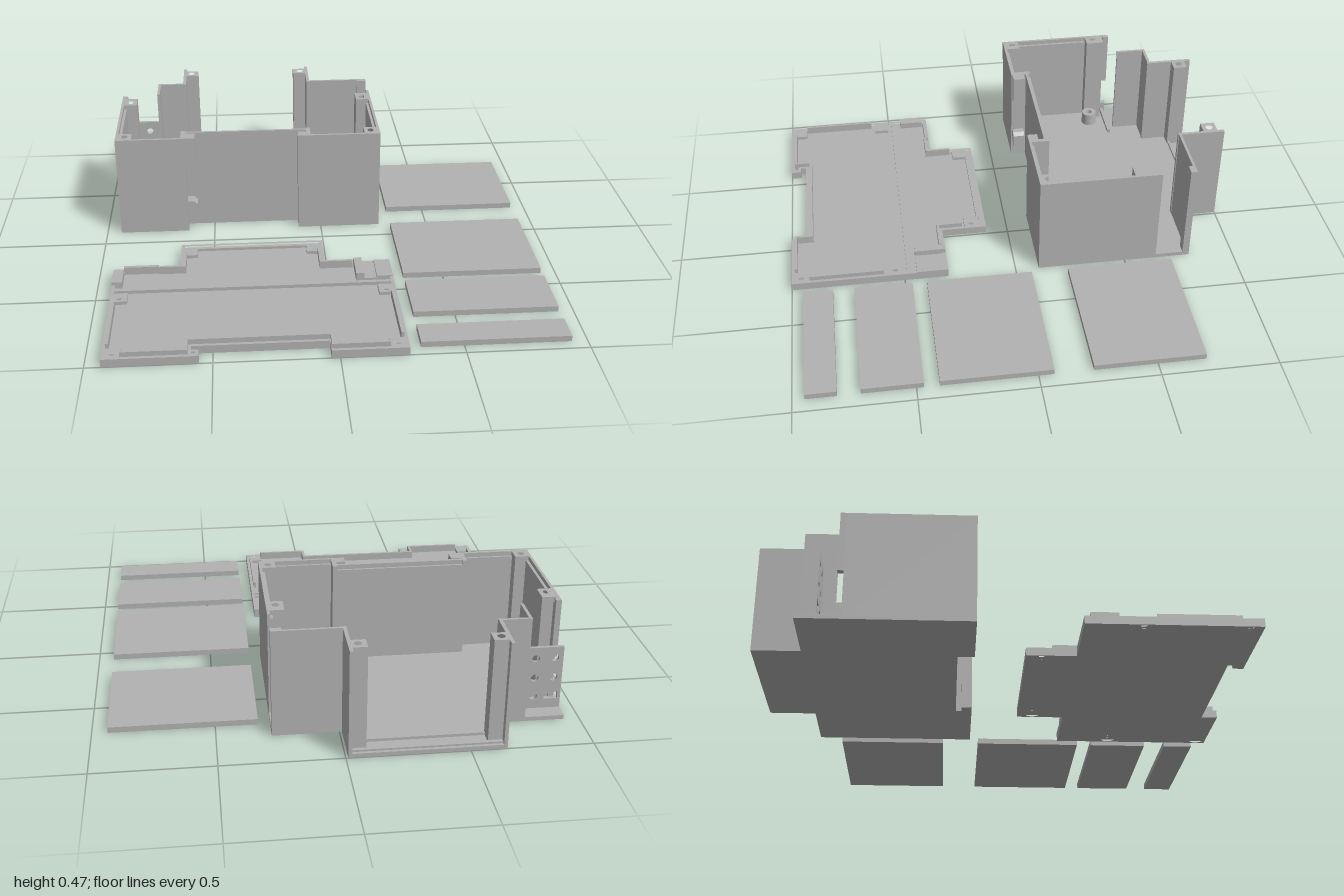
import * as THREE from 'three';

const grey = new THREE.MeshStandardMaterial({ color: 0xb2b2b2 });
grey.name = 'plastic grey';

function add(group, name, geometry) {
  const mesh = new THREE.Mesh(geometry, grey);
  mesh.name = name;
  group.add(mesh);
  return mesh;
}

// Box given by its limits on each axis
function block(group, name, x0, x1, y0, y1, z0, z1) {
  add(group, name, new THREE.BoxGeometry(x1 - x0, y1 - y0, z1 - z0))
    .position.set((x0 + x1) / 2, (y0 + y1) / 2, (z0 + z1) / 2);
}

const circle = (x, y, r) => new THREE.Path().absarc(x, y, r, 0, Math.PI * 2, true);

// Flat plate from a plan outline of [x, z] points, raised from y0 to y1
function plate(group, name, points, y0, y1, holes = [], cutout = null) {
  const to2 = ([x, z]) => new THREE.Vector2(x, -z);
  const shape = new THREE.Shape(points.map(to2));
  holes.forEach(([x, z, r]) => shape.holes.push(circle(x, -z, r)));
  if (cutout) shape.holes.push(new THREE.Path(cutout.map(to2)));
  const g = new THREE.ExtrudeGeometry(shape, { depth: y1 - y0, bevelEnabled: false, curveSegments: 16 });
  g.rotateX(-Math.PI / 2).translate(0, y0, 0);
  return add(group, name, g);
}

// Move a right-angled outline inwards by d
function inset(points, d) {
  const n = points.length;
  let area = 0;
  points.forEach(([x, z], i) => {
    const [u, v] = points[(i + 1) % n];
    area += x * v - u * z;
  });
  const s = Math.sign(area) * d;
  const normal = (a, b) => [-Math.sign(b[1] - a[1]) * s, Math.sign(b[0] - a[0]) * s];
  return points.map((p, i) => {
    const a = normal(points[(i + n - 1) % n], p), b = normal(p, points[(i + 1) % n]);
    return [p[0] + a[0] + b[0], p[1] + a[1] + b[1]];
  });
}

const rect = (x0, x1, z0, z1) => [[x0, z0], [x1, z0], [x1, z1], [x0, z1]];

function createCase() {
  const g = new THREE.Group();
  g.name = 'caseBody';
  const H = 0.47, F = 0.018;
  plate(g, 'caseFloor', [
    [-0.935, -0.8], [-0.647, -0.8], [-0.647, -1], [-0.01, -1], [-0.01, -0.8], [0.275, -0.8],
    [0.275, -0.105], [-0.105, -0.105], [-0.105, -0.15], [-0.065, -0.15], [-0.065, -0.175],
    [-0.62, -0.175], [-0.62, -0.105], [-0.935, -0.105]], 0, F);

  // Full height walls: x0, x1, z0, z1
  [
    ['frontWallRight', -0.935, -0.62, -0.117, -0.105],
    ['notchSideRight', -0.64, -0.62, -0.197, -0.105],
    ['notchWall', -0.64, -0.045, -0.187, -0.175],
    ['notchSideLeft', -0.065, -0.045, -0.197, -0.105],
    ['frontWallLeft', -0.105, 0.275, -0.117, -0.105],
    ['railFoot', -0.105, -0.065, -0.15, -0.105],
    ['leftWall', 0.263, 0.275, -0.645, -0.105],
    ['rightWall', -0.935, -0.923, -0.62, -0.105],
    ['tabWallRight', -0.647, -0.632, -1, -0.785],
    ['tabWallLeft', -0.025, -0.01, -1, -0.785],
    ['shoulderRight', -0.77, -0.632, -0.8, -0.787],
    ['shoulderLeft', -0.025, 0.275, -0.8, -0.788],
    ['shoulderEndPost', 0.23, 0.275, -0.8, -0.77],
    ['terminalDivider', -0.77, -0.757, -0.8, -0.66],
  ].forEach(([name, ...b]) => block(g, name, b[0], b[1], 0, H, b[2], b[3]));

  // Lower inner ledge that receives the lid lip
  [
    [-0.925, -0.64, -0.127, -0.115], [-0.63, -0.05, -0.197, -0.185], [-0.055, 0.265, -0.127, -0.115],
    [0.251, 0.265, -0.645, -0.115], [-0.925, -0.911, -0.62, -0.115],
  ].forEach(b => block(g, 'wallLedge', b[0], b[1], 0, H - 0.02, b[2], b[3]));

  // Slot at the rear end of the side wall
  block(g, 'slotSill', -0.935, -0.911, 0, 0.07, -0.645, -0.62);
  block(g, 'slotHead', -0.935, -0.911, 0.21, H, -0.645, -0.62);

  // Screw posts
  [
    [-0.923, -0.862, -0.61, -0.525, -0.895, -0.56], [-0.923, -0.862, -0.18, -0.115, -0.895, -0.147],
    [0.203, 0.265, -0.61, -0.525, 0.235, -0.56], [0.203, 0.265, -0.18, -0.115, 0.235, -0.147],
    [-0.64, -0.573, -0.97, -0.905, -0.608, -0.937], [-0.085, -0.018, -0.97, -0.905, -0.05, -0.937],
  ].forEach(p => plate(g, 'screwPost', rect(...p.slice(0, 4)), F, H, [[p[4], p[5], 0.016]]));

  // Board standoffs
  [[-0.826, -0.545], [0.166, -0.175]].forEach(([x, z]) => {
    const ring = new THREE.Shape().absarc(x, -z, 0.036, 0, Math.PI * 2);
    ring.holes.push(circle(x, -z, 0.015));
    const geo = new THREE.ExtrudeGeometry(ring, { depth: 0.06, bevelEnabled: false, curveSegments: 16 });
    add(g, 'standoff', geo.rotateX(-Math.PI / 2).translate(0, F, 0));
  });

  // Low ribs that hold the slide-in panels
  block(g, 'floorRib', -0.02, 0.265, F, 0.035, -0.637, -0.625);
  block(g, 'floorRib', -0.935, -0.71, F, 0.035, -0.637, -0.622);
  block(g, 'tabRib', -0.573, -0.085, F, 0.03, -0.918, -0.905 - 0.004);
  block(g, 'tabSill', -0.632, -0.025, F, 0.026, -0.987, -0.97);

  // Low terminal panel with cable holes
  const panel = new THREE.Shape([[-0.935, 0], [-0.765, 0], [-0.765, 0.3], [-0.935, 0.3]]
    .map(p => new THREE.Vector2(...p)));
  [[-0.9, 0.25], [-0.82, 0.25], [-0.82, 0.16], [-0.9, 0.16], [-0.82, 0.075]]
    .forEach(([x, y]) => panel.holes.push(circle(x, y, 0.016)));
  panel.holes.push(new THREE.Path([[-0.922, 0.06], [-0.922, 0.09], [-0.865, 0.09], [-0.865, 0.06]]
    .map(p => new THREE.Vector2(...p))));
  add(g, 'terminalPanel', new THREE.ExtrudeGeometry(panel, { depth: 0.015, bevelEnabled: false })
    .translate(0, 0, -0.73));

  // Rail clips on the side of the front notch
  [
    [[-0.62, 0.47], [-0.62, 0.32], [-0.575, 0.35], [-0.575, 0.47]],
    [[-0.62, 0.15], [-0.62, 0.11], [-0.575, 0.06], [-0.575, 0.135], [-0.59, 0.15]],
  ].forEach(pts => {
    const s = new THREE.Shape(pts.map(p => new THREE.Vector2(...p)));
    add(g, 'railClip', new THREE.ExtrudeGeometry(s, { depth: 0.055, bevelEnabled: false }).translate(0, 0, -0.165));
  });
  return g;
}

function createLid() {
  const g = new THREE.Group();
  g.name = 'lid';
  const outline = [
    [-0.935, 0.305], [-0.647, 0.305], [-0.647, 0.1], [-0.01, 0.1], [-0.01, 0.305], [0.275, 0.305],
    [0.275, 1], [-0.035, 1], [-0.035, 0.93], [-0.585, 0.93], [-0.585, 0.955], [-0.555, 0.955],
    [-0.555, 1], [-0.935, 1]];
  const screws = [[-0.895, 0.54], [0.235, 0.54], [-0.895, 0.957], [0.235, 0.957], [-0.608, 0.165], [-0.05, 0.165]];

  // Plate with countersunk screw holes, then the raised rim
  plate(g, 'lidOuterPlate', outline, 0, 0.01, screws.map(([x, z]) => [x, z, 0.034]));
  plate(g, 'lidInnerPlate', outline, 0.01, 0.02, screws.map(([x, z]) => [x, z, 0.017]));
  plate(g, 'lidRim', outline, 0.02, 0.035, [], inset(outline, 0.014));
  screws.forEach(([x, z]) =>
    plate(g, 'screwBoss', rect(x - 0.034, x + 0.034, z - 0.034, z + 0.034), 0.02, 0.035, [[x, z, 0.017]]));
  block(g, 'crossRib', -0.925, 0.265, 0.02, 0.035, 0.472, 0.488);

  // Locating lips inside the walls
  [
    [-0.921, -0.909, 0.59, 0.92], [0.249, 0.261, 0.59, 0.92],
    [-0.86, -0.61, 0.972, 0.984], [-0.025, 0.2, 0.972, 0.984],
    [-0.61, -0.025, 0.9, 0.912], [-0.61, -0.598, 0.9, 0.984], [-0.033, -0.021, 0.9, 0.984],
    [-0.633, -0.621, 0.21, 0.33], [-0.036, -0.024, 0.21, 0.33],
    [-0.74, -0.621, 0.319, 0.331], [-0.036, 0.11, 0.319, 0.331], [-0.89, -0.74, 0.31, 0.325],
  ].forEach(b => block(g, 'lidLip', b[0], b[1], 0.02, 0.055, b[2], b[3]));
  block(g, 'rearRib', -0.573, -0.085, 0.02, 0.032, 0.125, 0.137);

  // Terminal blocks at the rear corners
  block(g, 'terminalStep', 0.115, 0.15, 0.02, 0.055, 0.305, 0.445);
  block(g, 'terminalStep', 0.15, 0.205, 0.02, 0.03, 0.305, 0.445);
  block(g, 'terminalStep', 0.205, 0.275, 0.02, 0.04, 0.305, 0.445);
  block(g, 'terminalEdge', -0.935, -0.89, 0.02, 0.05, 0.33, 0.44);
  return g;
}

export function createModel() {
  const model = new THREE.Group();
  model.name = 'railEnclosureKit';
  model.add(createCase(), createLid());
  // Loose slide-in panels
  [[-0.705, -0.23], [-0.065, 0.405], [0.47, 0.725], [0.82, 0.95]]
    .forEach(([z0, z1]) => block(model, 'slideInPanel', 0.325, 0.935, 0, 0.025, z0, z1));
  return model;
}
